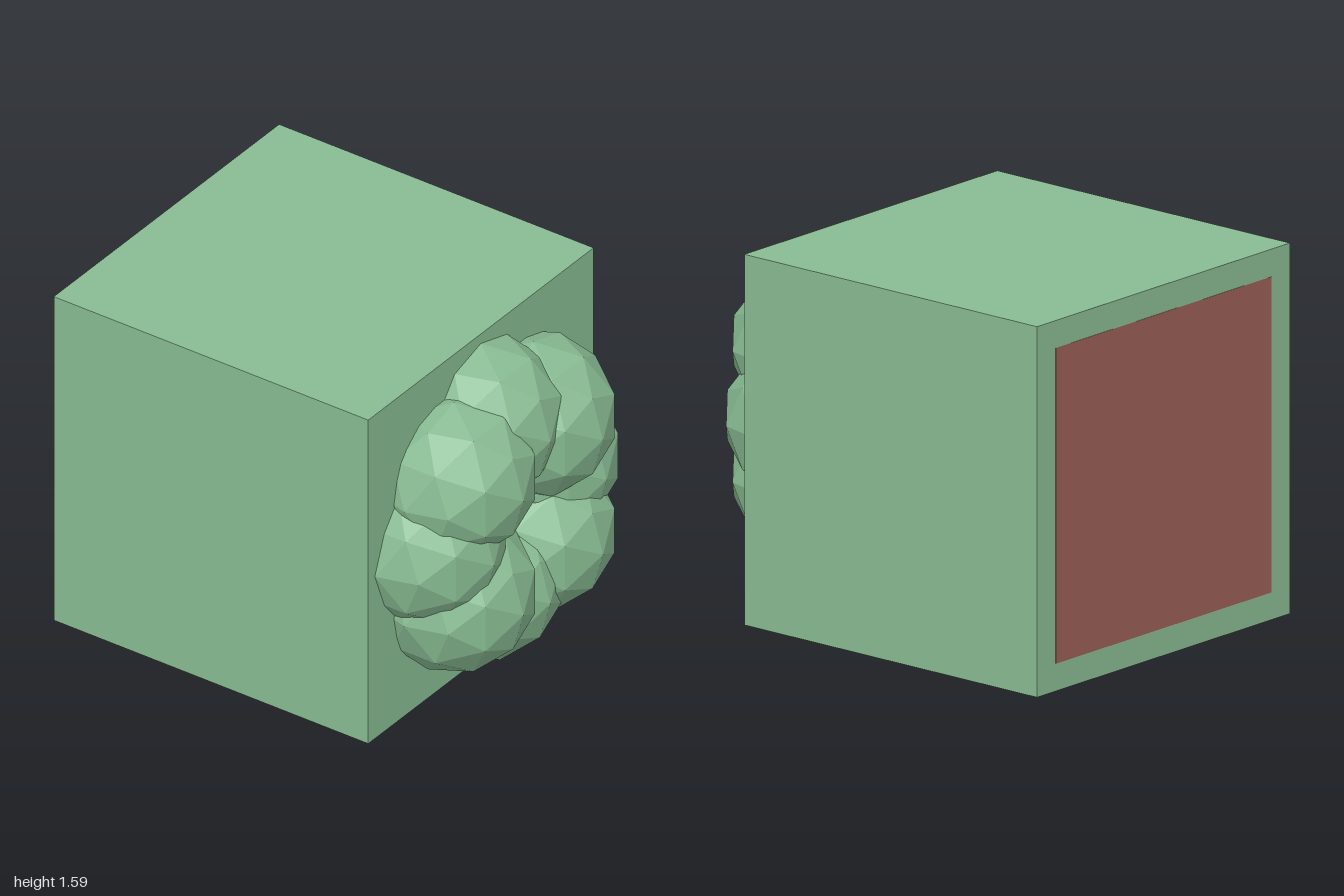
import * as THREE from 'three';

const SIDE = 1.585;
const MID_Y = SIDE / 2;
const FRONT_Z = 0.585;

const paint = (color) => new THREE.MeshStandardMaterial({ color, flatShading: true });

export function createModel() {
  const model = new THREE.Group();
  const green = paint(0x88bb92);

  const add = (name, geometry, material, x, y, z) => {
    const mesh = new THREE.Mesh(geometry, material);
    mesh.name = name;
    mesh.position.set(x, y, z);
    model.add(mesh);
    return mesh;
  };

  // Solid cube body
  add('body', new THREE.BoxGeometry(SIDE, SIDE, SIDE), green, 0, MID_Y, FRONT_Z - SIDE / 2);

  // Square panel, all but flush with the back face
  add('backPanel', new THREE.BoxGeometry(1.35, 1.35, 0.02), paint(0x9a5f55), 0, MID_Y, -0.991);

  // Ring of eight faceted lobes; the diagonal ones stand further out
  const lobe = new THREE.IcosahedronGeometry(0.35, 1);
  for (let i = 0; i < 8; i++) {
    const angle = (i * Math.PI) / 4;
    add('lobe' + (i + 1), lobe, green,
      0.396 * Math.cos(angle),
      MID_Y + 0.396 * Math.sin(angle),
      i % 2 ? 0.65 : FRONT_Z);
  }

  // Pale spot at the bottom of the gap between the lobes
  add('centreSpot', new THREE.CircleGeometry(0.13, 16), paint(0xf6f6f2), 0, MID_Y, FRONT_Z + 0.003);

  return model;
}
